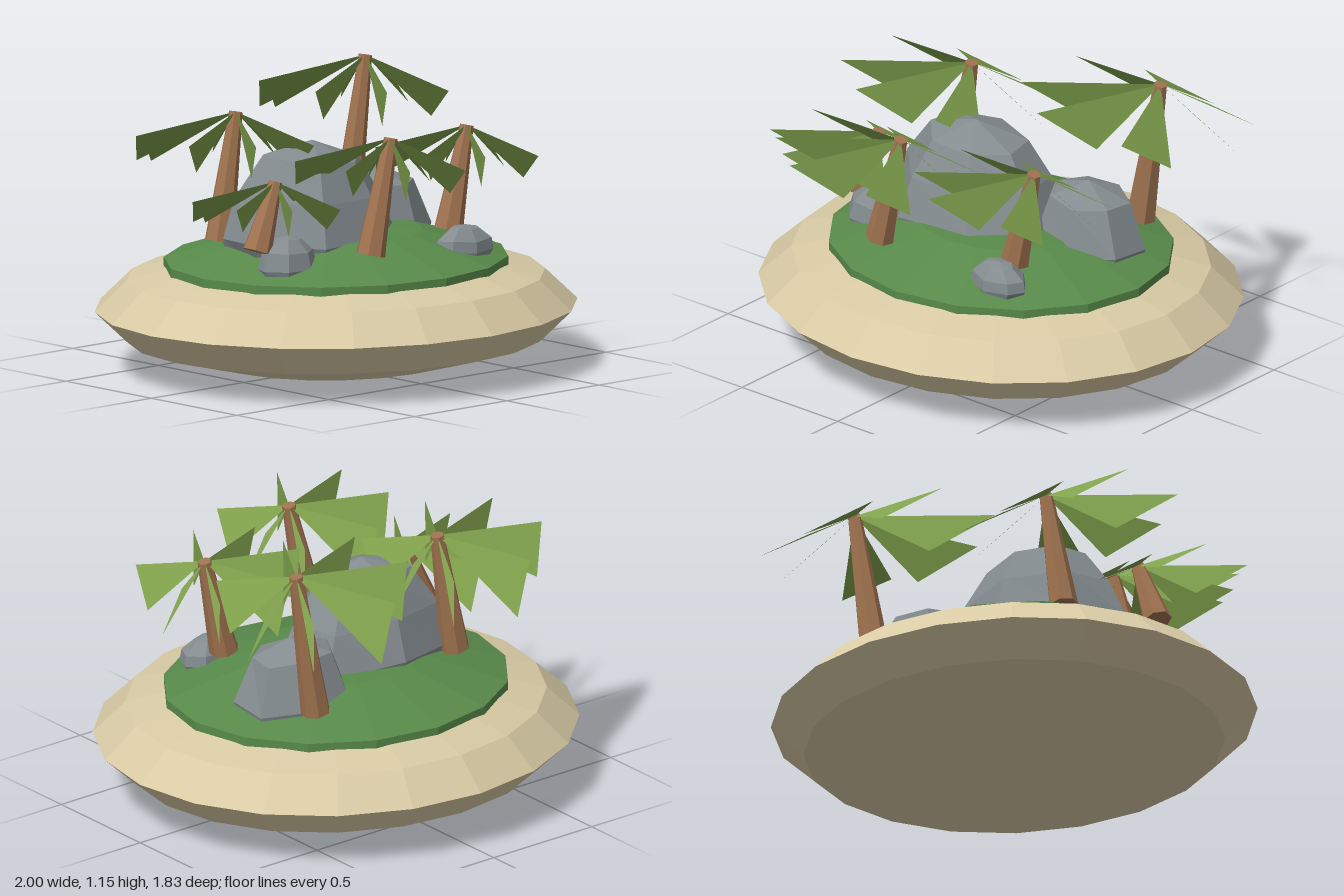
import * as THREE from 'three';

const material = (color, side = THREE.FrontSide) =>
  new THREE.MeshStandardMaterial({ color, flatShading: true, side });
const SAND = material(0xd8caa4);
const GRASS = material(0x588a4a);
const ROCK = material(0x848c90);
const BARK = material(0xa07350);
const LEAF = material(0x7fa04c, THREE.DoubleSide);

function part(name, geometry, mat) {
  const mesh = new THREE.Mesh(geometry, mat);
  mesh.name = name;
  return mesh;
}

const lathe = (profile, sides) =>
  new THREE.LatheGeometry(profile.map(([r, y]) => new THREE.Vector2(r, y)), sides);

// Faceted boulder: a low dome made uneven by a smooth rule of position
function boulder(name, [x, y, z], [rx, ry, rz], shoulder, turn) {
  const geometry = lathe([[0, -0.2], [0.9, -0.2], [1, 0.03], ...shoulder, [0, 1]], 7);
  geometry.rotateY(turn);
  const pos = geometry.attributes.position;
  for (let i = 0; i < pos.count; i++) {
    const px = pos.getX(i), py = pos.getY(i), pz = pos.getZ(i);
    const k = 1 + 0.05 * Math.sin(5 * px + 3 * pz + turn);
    pos.setXYZ(i, px * k, py - 0.04 * Math.sin(3 * px + 2 * pz), pz * k);
  }
  geometry.scale(rx, ry, rz);
  const mesh = part(name, geometry, ROCK);
  mesh.position.set(x, y, z);
  return mesh;
}

// The two outer corners of each frond, measured from the crown
const FRONDS = [
  [[-0.51, -0.05, -0.07], [-0.34, -0.20, -0.25]],
  [[-0.30, -0.11, -0.25], [-0.09, -0.26, -0.43]],
  [[0.20, -0.25, -0.36], [0.07, -0.13, -0.20]],
  [[0.33, -0.25, -0.10], [0.15, -0.09, -0.02]],
  [[0.20, -0.25, 0.17], [0.11, -0.11, 0.37]],
  [[-0.28, -0.06, 0.43], [-0.13, -0.24, 0.24]],
  [[-0.51, -0.05, 0.26], [-0.31, -0.21, 0.09]],
];

function frondGeometry(corners) {
  const points = [[0, 0, 0], ...corners].map((p) => new THREE.Vector3(...p));
  const geometry = new THREE.BufferGeometry().setFromPoints(points);
  // Wind the triangle so its face looks upward
  const n = points[1].clone().cross(points[2]);
  geometry.setIndex(n.y >= 0 ? [0, 1, 2] : [0, 2, 1]);
  geometry.computeVertexNormals();
  return geometry;
}

// Leaning palm: tapered trunk between base and crown, fronds around the crown
function palm(base, crown, size) {
  const group = new THREE.Group();
  group.name = 'palm';
  const a = new THREE.Vector3(...base), b = new THREE.Vector3(...crown);
  const trunk = part('trunk', new THREE.CylinderGeometry(0.028, 0.06, a.distanceTo(b), 7), BARK);
  trunk.position.lerpVectors(a, b, 0.5);
  trunk.quaternion.setFromUnitVectors(new THREE.Vector3(0, 1, 0), b.clone().sub(a).normalize());
  group.add(trunk);
  for (const corners of FRONDS) {
    const frond = part('frond', frondGeometry(corners), LEAF);
    frond.position.copy(b);
    frond.scale.setScalar(size);
    group.add(frond);
  }
  return group;
}

export function createModel() {
  const model = new THREE.Group();
  model.name = 'palmIsland';

  // Flattened sand body
  const sand = part('sandBase', new THREE.SphereGeometry(1, 20, 6), SAND);
  sand.scale.set(1, 0.25, 0.917);
  sand.position.y = 0.255;
  model.add(sand);

  // Grass mound with a short vertical rim
  const grass = part('grassMound',
    lathe([[0.72, 0.4], [0.72, 0.452], [0.36, 0.56], [0, 0.578]], 16), GRASS);
  grass.scale.z = 0.9;
  model.add(grass);

  // Boulders
  model.add(
    boulder('largeBoulder', [-0.13, 0.55, 0], [0.39, 0.39, 0.29], [[0.83, 0.45], [0.57, 0.83]], 0.45),
    boulder('mediumBoulder', [0.34, 0.5, -0.14], [0.25, 0.265, 0.21], [[0.7, 0.76]], 0.2),
    boulder('smallBoulderLeft', [0.33, 0.49, 0.4], [0.135, 0.105, 0.085], [[0.95, 0.45], [0.5, 0.9]], 0.8),
    boulder('smallBoulderRight', [-0.46, 0.49, 0.22], [0.135, 0.135, 0.1], [[0.85, 0.55], [0.4, 0.92]], 0.3),
  );

  // Palms, all leaning toward +x
  const palms = [
    [[0.41, 0.54, -0.38], [0.51, 1.15, -0.38], 1],
    [[-0.43, 0.54, -0.22], [-0.34, 1.05, -0.22], 0.94],
    [[-0.24, 0.55, 0.46], [-0.13, 1.01, 0.46], 0.9],
    [[0.33, 0.56, 0.3], [0.43, 0.97, 0.3], 0.86],
    [[-0.59, 0.57, 0.175], [-0.49, 0.84, 0.175], 0.78],
  ];
  for (const args of palms) model.add(palm(...args));

  return model;
}
